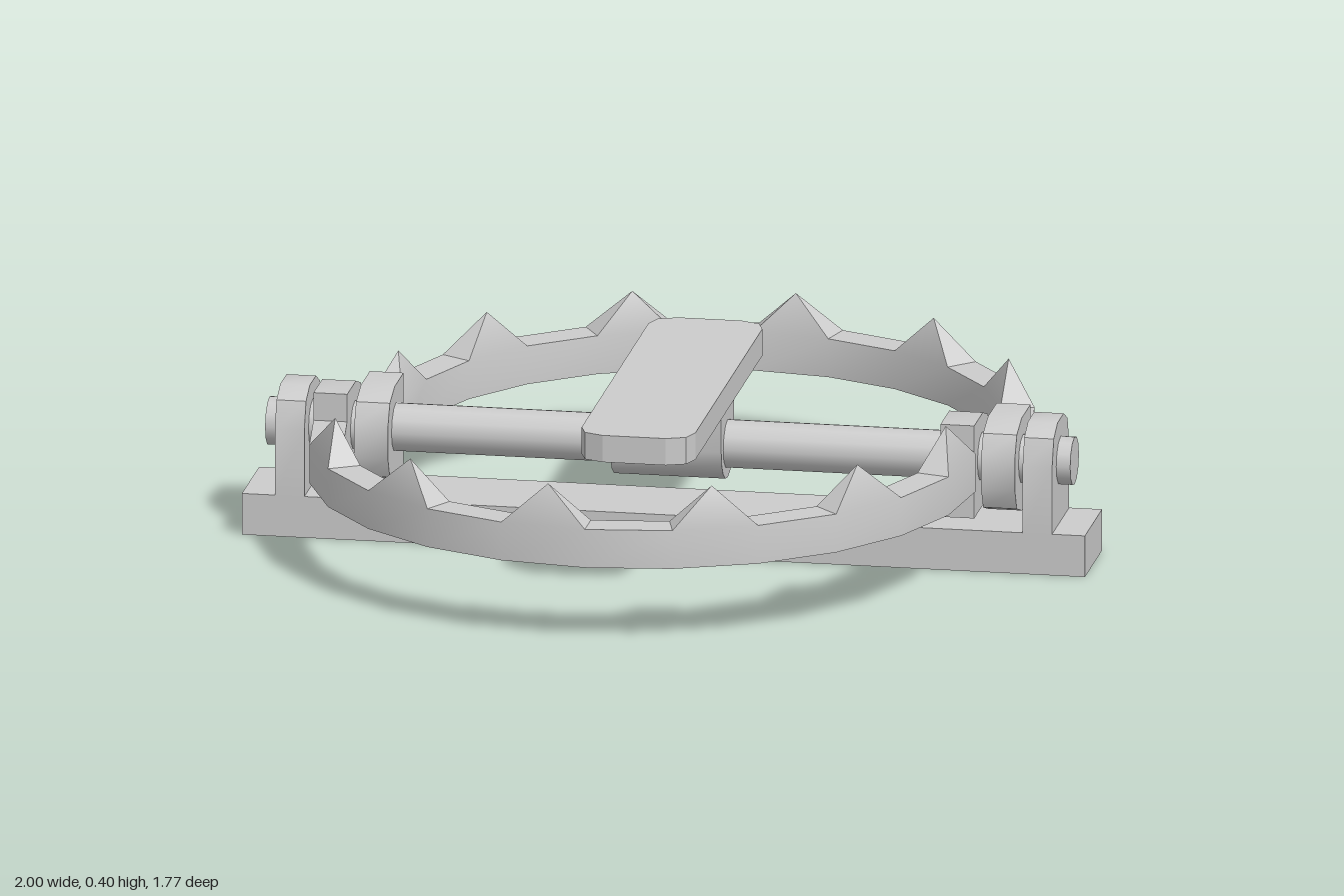
import * as THREE from 'three';
import { toCreasedNormals } from 'three/addons/utils/BufferGeometryUtils.js';

const material = new THREE.MeshStandardMaterial({ color: 0xcccccc });

function add(parent, name, geometry, x = 0, y = 0, z = 0) {
  const mesh = new THREE.Mesh(geometry, material);
  mesh.name = name;
  mesh.position.set(x, y, z);
  parent.add(mesh);
  return mesh;
}

// Extrudes an outline along x, centred; the outline's first axis becomes -z
function extrudeX(points, width) {
  const shape = new THREE.Shape(points.map(([u, v]) => new THREE.Vector2(u, v)));
  const g = new THREE.ExtrudeGeometry(shape, { depth: width, bevelEnabled: false });
  g.translate(0, 0, -width / 2).rotateY(Math.PI / 2);
  return toCreasedNormals(g, 0.6);
}

// Outline with a flat foot at v = foot and a rounded top of half width r
function roundedTop(r, foot, top) {
  return [
    [-r, foot], [r, foot], [r, top - 0.8 * r], [0.8 * r, top - 0.22 * r], [0.36 * r, top],
    [-0.36 * r, top], [-0.8 * r, top - 0.22 * r], [-r, top - 0.8 * r],
  ];
}

// Half-ring jaw bar: rectangular section swept in 12 steps, a pyramid tooth on every other step
function jawGeometry() {
  const steps = 12, outer = 0.785, inner = 0.705, cx = 0.0475, cz = -0.1;
  const low = 0.19, high = 0.283, tip = 0.375;
  const section = [[outer, low], [outer, high], [inner, high], [inner, low]];
  const corner = (k, i) => {
    const [r, y] = section[k % 4];
    const a = (i / steps) * Math.PI;
    return [cx + r * Math.cos(a), y, cz - r * Math.sin(a)];
  };
  const pos = [];
  for (let i = 0; i < steps; i++) {
    for (let k = 0; k < 4; k++) {
      const quad = [corner(k, i), corner(k, i + 1), corner(k + 1, i + 1), corner(k + 1, i)];
      if (k === 1 && i % 2 === 1) {
        const apex = [0, 2].map((c) => quad.reduce((s, p) => s + p[c], 0) / 4);
        quad.forEach((p, j) => pos.push(...p, ...quad[(j + 1) % 4], apex[0], tip, apex[1]));
      } else {
        const [a, b, c, d] = quad;
        pos.push(...a, ...b, ...c, ...a, ...c, ...d);
      }
    }
  }
  const g = new THREE.BufferGeometry();
  g.setAttribute('position', new THREE.Float32BufferAttribute(pos, 3));
  return toCreasedNormals(g, 0.5);
}

// One jaw reaching towards -z, with an outer hub on one side and an inner hub on the other
function createJaw(name) {
  const jaw = new THREE.Group();
  jaw.name = name;
  add(jaw, 'toothedBar', jawGeometry());
  // Hub outline lies on its side: flat end at the bar, rounded end beyond the axle
  const outline = roundedTop(0.1125, -0.1, 0.105).map(([u, v]) => [-v, u]);
  for (const x of [0.7925, -0.695]) add(jaw, 'jawHub', extrudeX(outline, 0.08), x, 0.2375, 0);
  return jaw;
}

export function createModel() {
  const model = new THREE.Group();
  model.name = 'jawTrap';

  // Base bar with an upright bracket at each end
  add(model, 'base', new THREE.BoxGeometry(2, 0.1, 0.226), 0, 0.05, 0);
  for (const side of [-1, 1]) {
    add(model, 'bracket', extrudeX(roundedTop(0.113, 0.1, 0.35), 0.07), side * 0.887, 0, 0);
  }

  // Axle through brackets, hubs and pan
  add(model, 'axle', new THREE.CylinderGeometry(0.058, 0.058, 1.91, 12).rotateZ(Math.PI / 2), 0, 0.248, 0);

  // Two identical jaws, half a turn apart
  const backJaw = createJaw('backJaw');
  const frontJaw = createJaw('frontJaw');
  frontJaw.rotation.y = Math.PI;
  model.add(backJaw, frontJaw);

  // Trigger pan with clipped corners
  const quarter = [[0.135, 0.44], [0.12, 0.482], [0.075, 0.5]];
  const back = [...quarter].reverse();
  const outline = [
    ...quarter,
    ...back.map(([x, z]) => [-x, z]),
    ...quarter.map(([x, z]) => [-x, -z]),
    ...back.map(([x, z]) => [x, -z]),
  ].map(([x, z]) => new THREE.Vector2(x, z));
  const pan = new THREE.ExtrudeGeometry(new THREE.Shape(outline), { depth: 0.065, bevelEnabled: false });
  add(model, 'pan', pan.rotateX(-Math.PI / 2), 0, 0.335, 0);

  // Pan mount wrapped under the axle
  const mount = [[0.085, 0.34], [-0.085, 0.34]];
  for (let i = 0; i <= 8; i++) {
    const a = Math.PI + (i / 8) * Math.PI;
    mount.push([0.085 * Math.cos(a), 0.25 + 0.085 * Math.sin(a)]);
  }
  add(model, 'panMount', extrudeX(mount, 0.264));

  return model;
}
